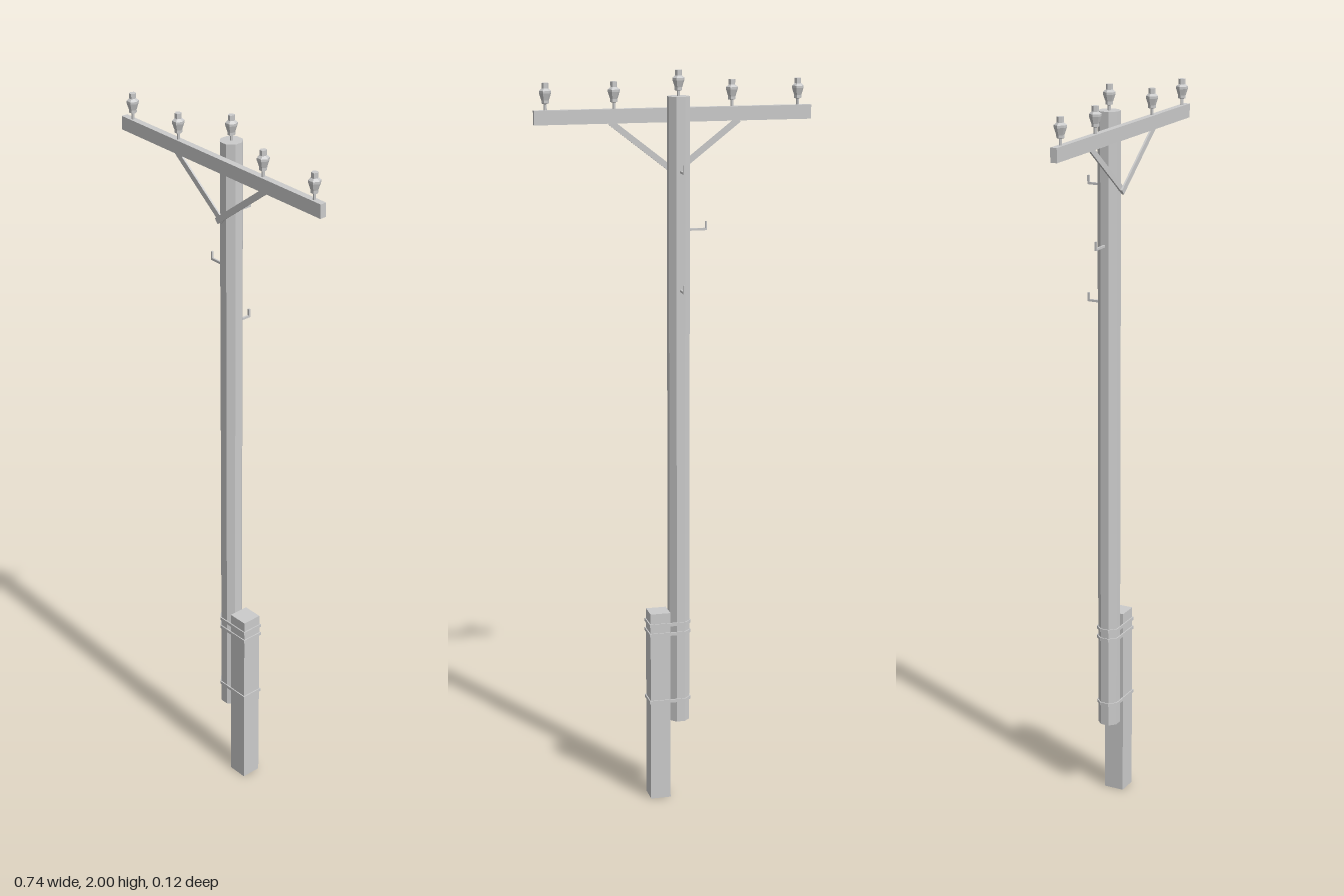
import * as THREE from 'three';

const PX = -0.003, PZ = 0.003; // pole axis
const mat = new THREE.MeshStandardMaterial({ color: 0xcccccc, flatShading: true });

export function createModel() {
  const root = new THREE.Group();
  root.name = 'utilityPole';

  const add = (name, geo, x, y, z, parent = root) => {
    const mesh = new THREE.Mesh(geo, mat);
    mesh.name = name;
    mesh.position.set(x, y, z);
    parent.add(mesh);
    return mesh;
  };
  const box = (w, h, d) => new THREE.BoxGeometry(w, h, d);

  // Octagonal pole with flat faces along the axes
  const apothem = 0.028;
  const pole = new THREE.CylinderGeometry(apothem / Math.cos(Math.PI / 8), apothem / Math.cos(Math.PI / 8), 1.713, 8);
  pole.rotateY(Math.PI / 8);
  add('pole', pole, PX, 0.222 + 1.713 / 2, PZ);

  // Square ground stub beside the pole
  add('groundStub', box(0.056, 0.54, 0.056), 0.054, 0.27, PZ);

  // Straps wrapping the pole and the stub
  const outline = (r) => {
    const t = r * Math.tan(Math.PI / 8), right = 0.085 + r - apothem;
    return [[right, -r], [right, r], [-t, r], [-r, t], [-r, -t], [-t, -r]]
      .map(([x, y]) => new THREE.Vector2(x, y));
  };
  const band = new THREE.Shape(outline(0.031));
  band.holes.push(new THREE.Path(outline(0.0275)));
  const bandGeo = new THREE.ExtrudeGeometry(band, { depth: 0.009, bevelEnabled: false });
  bandGeo.rotateX(Math.PI / 2);
  for (const y of [0.285, 0.48, 0.507]) add('strap', bandGeo, PX, y + 0.0045, PZ);

  // Crossarm and the bolt holding it to the pole
  add('crossarm', box(0.742, 0.037, 0.018), -0.001, 1.8835, 0.044);
  add('crossarmBolt', box(0.012, 0.012, 0.02), PX, 1.8835, 0.034);

  // Diagonal braces meeting on the pole
  for (const side of [-1, 1]) {
    const a = new THREE.Vector2(PX - side * 0.008, 1.728);
    const b = new THREE.Vector2(PX + side * 0.172, 1.868);
    const brace = add('brace', box(a.distanceTo(b), 0.016, 0.005),
      (a.x + b.x) / 2, (a.y + b.y) / 2, 0.042 + side * 0.0025);
    brace.rotation.z = Math.atan2(b.y - a.y, b.x - a.x);
  }
  add('braceBolt', box(0.01, 0.01, 0.018), PX, 1.735, 0.036);

  // Hexagonal insulators on pins
  const profile = [[0, 0], [0.004, 0], [0.004, 0.016], [0.010, 0.018], [0.010, 0.026],
    [0.016, 0.044], [0.016, 0.050], [0.009, 0.056], [0.009, 0.070], [0, 0.070]]
    .map(([r, y]) => new THREE.Vector2(r, y));
  const insulator = new THREE.LatheGeometry(profile, 6, Math.PI / 6);
  for (const x of [-0.337, -0.157, 0.159, 0.339]) add('insulator', insulator, x, 1.902, 0.044);
  add('topInsulator', insulator, PX, 1.932, PZ);

  // Climbing steps: a rod with an upturned tip
  const step = (y, turn, length) => {
    const g = new THREE.Group();
    g.name = 'climbingStep';
    g.position.set(PX, y, PZ);
    g.rotation.y = turn;
    add('stepRod', box(length - 0.024, 0.006, 0.005), (length + 0.024) / 2, 0, 0, g);
    add('stepTip', box(0.005, 0.02, 0.005), length - 0.0025, 0.011, 0, g);
    root.add(g);
  };
  step(1.587, Math.PI, 0.077);
  step(1.742, Math.PI / 2, 0.063);
  step(1.43, Math.PI / 2, 0.063);

  return root;
}
